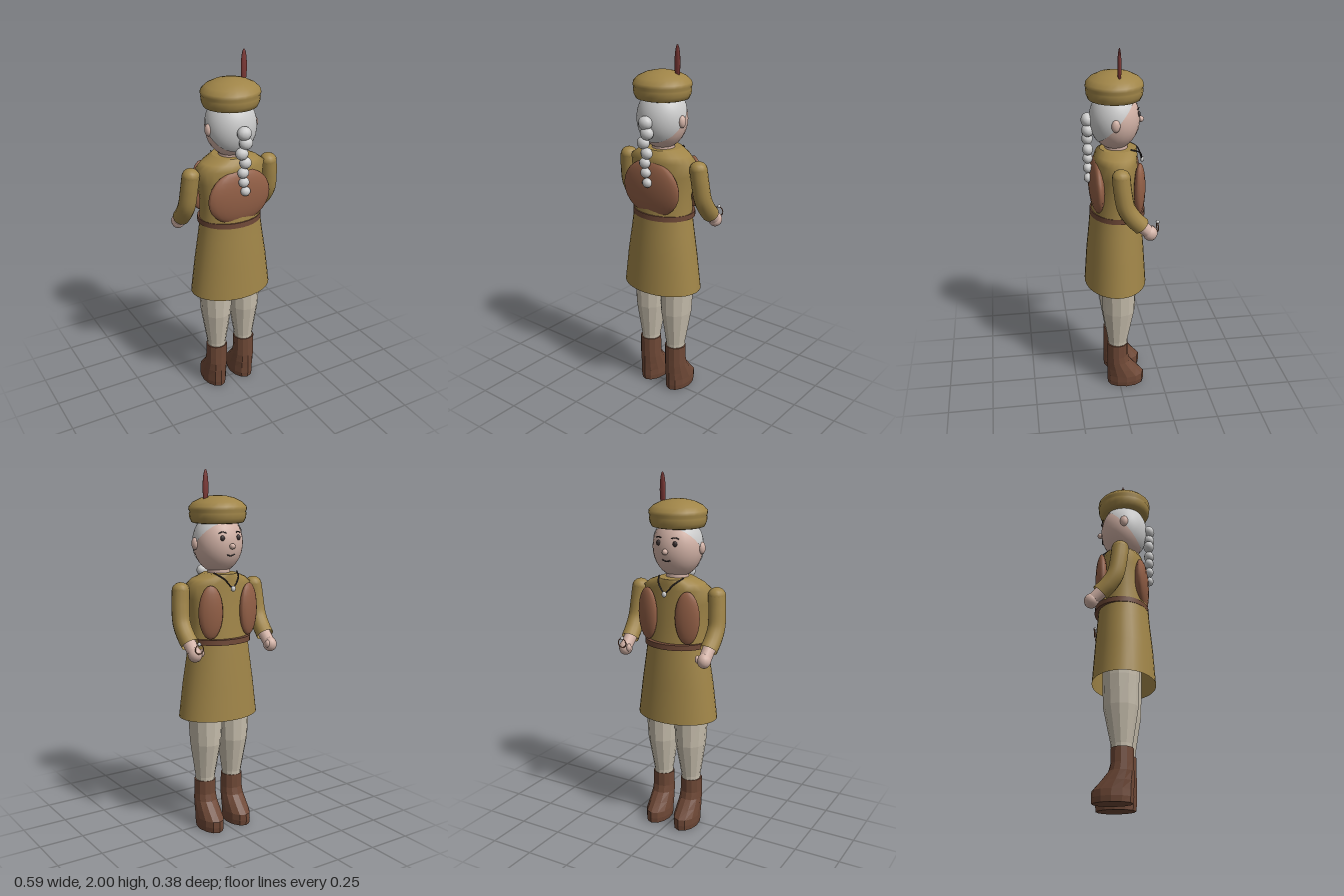
import * as THREE from 'three';

const OLIVE = 0xa08548, SKIN = 0xd2b2a6, BROWN = 0x925f46, BOOT = 0x6e4836, STOCKING = 0xc6bdac, GREY = 0xcccccc, DARK = 0x3a3030, RED = 0x7c3835;

const mat = (color, flat = false, double = false) =>
  new THREE.MeshStandardMaterial({ color, flatShading: flat, side: double ? THREE.DoubleSide : THREE.FrontSide });

// Skin of stacked oval rings, bottom to top: [y, rx, rz, centreZ]
function loft(rings, sides) {
  const pos = [], idx = [];
  for (const [y, rx, rz, cz = 0] of rings)
    for (let j = 0; j < sides; j++) {
      const a = (j / sides) * Math.PI * 2;
      pos.push(Math.cos(a) * rx, y, cz + Math.sin(a) * rz);
    }
  for (let i = 0; i < rings.length - 1; i++)
    for (let j = 0; j < sides; j++) {
      const a = i * sides + j, b = i * sides + (j + 1) % sides;
      idx.push(a, a + sides, b, b, a + sides, b + sides);
    }
  const g = new THREE.BufferGeometry();
  g.setAttribute('position', new THREE.Float32BufferAttribute(pos, 3));
  g.setIndex(idx);
  g.computeVertexNormals();
  return g;
}

function tube(points, radius, segs = 16, sides = 6) {
  const curve = new THREE.CatmullRomCurve3(points.map(p => new THREE.Vector3(...p)));
  return new THREE.TubeGeometry(curve, segs, radius, sides);
}

export function createModel() {
  const model = new THREE.Group();
  const add = (name, geometry, material, parent = model) => {
    const m = new THREE.Mesh(geometry, material);
    m.name = name;
    parent.add(m);
    return m;
  };
  const ball = (name, color, [x, y, z], [rx, ry, rz], parent = model, w = 16, h = 12, flat = false) => {
    const m = add(name, new THREE.SphereGeometry(1, w, h), mat(color, flat), parent);
    m.position.set(x, y, z);
    m.scale.set(rx, ry, rz);
    return m;
  };

  // Coat: body, belt and flared skirt
  add('coatBody', loft([
    [1.08, 0.178, 0.135, 0.01], [1.2, 0.175, 0.125, 0.01], [1.32, 0.19, 0.12, 0.01], [1.395, 0.2, 0.115, 0.01],
    [1.425, 0.16, 0.112, 0.005], [1.452, 0.09, 0.1, -0.005], [1.452, 0.09, 0.1, -0.005], [1.457, 0, 0, -0.005],
  ], 24), mat(OLIVE));
  add('skirt', loft([[0.655, 0.235, 0.173, 0.012], [0.85, 0.21, 0.16, 0.012], [1.0, 0.186, 0.147, 0.01], [1.085, 0.174, 0.14, 0.01]], 32),
    mat(OLIVE, false, true));
  const belt = [[1.077, 0.17, 0.13], [1.077, 0.182, 0.152], [1.077, 0.182, 0.152], [1.106, 0.182, 0.15], [1.106, 0.182, 0.15], [1.106, 0.16, 0.12]];
  add('belt', loft(belt, 32), mat(BOOT));

  // Round pack on the back and two long pouches on the chest
  ball('backPack', BROWN, [0, 1.245, 0.112], [0.187, 0.155, 0.042], model, 20, 14);
  for (const s of [-1, 1]) {
    const pouch = ball('chestPouch', BROWN, [s * 0.122, 1.255, -0.104], [0.068, 0.145, 0.03], model, 14, 12);
    pouch.rotation.y = -s * 0.3;
  }

  // Head with hair tilted towards the back
  add('neck', new THREE.CylinderGeometry(0.06, 0.065, 0.12, 16), mat(SKIN)).position.set(0, 1.46, 0.005);
  ball('head', SKIN, [0, 1.612, 0.012], [0.137, 0.163, 0.132], model, 24, 18);
  const hairGeo = new THREE.SphereGeometry(1, 28, 14, 0, Math.PI * 2, 0, Math.PI / 2);
  hairGeo.rotateX(0.76);
  hairGeo.scale(0.141, 0.167, 0.136);
  add('hair', hairGeo, mat(GREY, false, true)).position.set(0, 1.612, 0.012);
  for (const s of [-1, 1]) {
    ball('ear', SKIN, [s * 0.138, 1.612, 0.025], [0.018, 0.033, 0.023], model, 12, 10);
    ball('eye', DARK, [s * 0.05, 1.645, -0.108], [0.013, 0.015, 0.009], model, 12, 8);
    add('brow', tube([[s * 0.03, 1.672, -0.112], [s * 0.05, 1.677, -0.106], [s * 0.068, 1.67, -0.097]], 0.003, 8, 5), mat(DARK));
  }
  ball('nose', SKIN, [0, 1.602, -0.127], [0.016, 0.016, 0.016], model, 12, 10);
  add('mouth', tube([[-0.025, 1.557, -0.111], [0, 1.55, -0.113], [0.025, 1.557, -0.111]], 0.0035, 8, 5), mat(DARK));

  // Braid of shrinking beads
  const beadX = [0, 0.01, -0.014, 0.008, -0.005, 0, 0.01];
  beadX.forEach((x, i) => {
    const r = 0.04 - i * 0.002;
    ball('braidBead', GREY, [x, 1.61 - i * 0.0535, 0.158], [r, r * 0.93, r * 0.85], model, 12, 9);
  });

  // Beret and feather
  add('beret', loft([
    [1.718, 0, 0, 0.014], [1.718, 0.13, 0.125, 0.014], [1.722, 0.143, 0.138, 0.014], [1.745, 0.154, 0.148, 0.014],
    [1.77, 0.157, 0.151, 0.014], [1.778, 0.153, 0.147, 0.014], [1.79, 0.16, 0.153, 0.014], [1.807, 0.157, 0.15, 0.014],
    [1.83, 0.134, 0.128, 0.014], [1.85, 0.092, 0.088, 0.014], [1.861, 0.045, 0.043, 0.014], [1.864, 0, 0, 0.014],
  ], 24), mat(OLIVE));
  ball('feather', RED, [0.086, 1.905, 0], [0.018, 0.095, 0.01], model, 10, 12);

  // Cord necklace with a pendant
  add('necklace', tube([[-0.075, 1.46, -0.06], [-0.045, 1.43, -0.118], [0, 1.385, -0.132], [0.045, 1.43, -0.118], [0.075, 1.46, -0.06]], 0.004, 24, 5), mat(DARK));
  ball('pendant', GREY, [0, 1.378, -0.136], [0.014, 0.016, 0.012], model, 10, 8);

  // Arms, hands, legs and boots on both sides
  const legGeo = loft([[0.26, 0.053, 0.055, 0.008], [0.3, 0.055, 0.057, 0.008], [0.5, 0.085, 0.093, 0.003], [0.66, 0.096, 0.098, 0.003],
    [0.92, 0.098, 0.1, 0.005], [0.92, 0, 0, 0.005]], 12);
  const bootGeo = loft([
    [0, 0, 0, -0.03], [0, 0.064, 0.105, -0.038], [0.03, 0.069, 0.108, -0.038], [0.065, 0.069, 0.107, -0.037], [0.11, 0.067, 0.087, -0.016],
    [0.16, 0.064, 0.066, 0.005], [0.2, 0.062, 0.06, 0.01], [0.28, 0.061, 0.06, 0.01], [0.28, 0, 0, 0.01],
  ], 12);
  for (const s of [-1, 1]) {
    const arm = new THREE.Group();
    arm.name = s < 0 ? 'armNegativeX' : 'armPositiveX';
    model.add(arm);
    const sleeve = [[s * 0.237, 1.372, 0.012], [s * 0.245, 1.29, 0.004], [s * 0.25, 1.2, -0.014], [s * 0.249, 1.142, -0.05], [s * 0.246, 1.095, -0.095]];
    add('sleeve', tube(sleeve, 0.048, 20, 14), mat(OLIVE, false, true), arm);
    ball('shoulder', OLIVE, sleeve[0], [0.048, 0.042, 0.048], arm, 14, 10);
    const wrist = add('wrist', new THREE.CylinderGeometry(0.036, 0.034, 0.06, 12), mat(SKIN), arm);
    wrist.position.set(s * 0.246, 1.082, -0.108);
    wrist.rotation.x = 0.8;
    ball('hand', SKIN, [s * 0.245, 1.05, -0.142], [0.038, 0.041, 0.039], arm, 14, 10);
    ball('thumb', SKIN, [s * 0.214, 1.058, -0.158], [0.013, 0.022, 0.017], arm, 10, 8);

    add('leg', legGeo, mat(STOCKING, true)).position.x = s * 0.09;
    add('boot', bootGeo, mat(BOOT, true)).position.x = s * 0.091;
  }

  // Small ring with a bead held in one hand
  add('heldRing', new THREE.TorusGeometry(0.025, 0.003, 6, 20), mat(BROWN)).position.set(0.243, 1.085, -0.181);
  ball('ringBead', GREY, [0.243, 1.112, -0.181], [0.01, 0.01, 0.01], model, 10, 8);

  return model;
}
